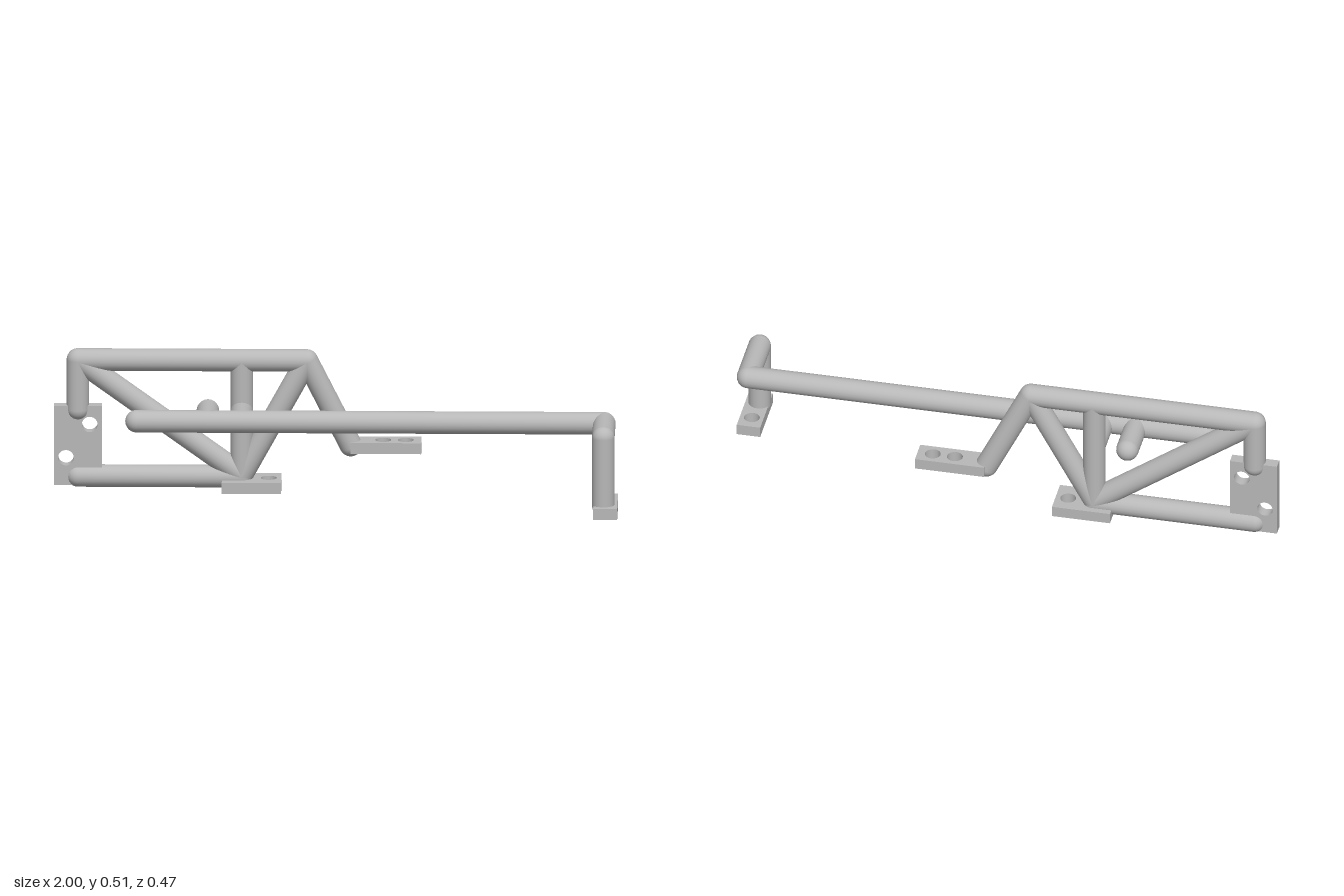
import * as THREE from 'three';

const R = 0.04; // tube radius
const T = 0.04; // plate thickness

export function createModel() {
  const model = new THREE.Group();
  model.name = 'tubularBracket';
  const steel = new THREE.MeshStandardMaterial({ color: 0xb8b8b8 });
  steel.name = 'grey steel';

  const add = (name, geometry, parent) => {
    const mesh = new THREE.Mesh(geometry, steel);
    mesh.name = name;
    parent.add(mesh);
    return mesh;
  };

  // Straight tubes through the points, with a ball at every joint and end
  const pipe = (name, coords) => {
    const group = new THREE.Group();
    group.name = name;
    model.add(group);
    const pts = coords.map((c) => new THREE.Vector3(...c));
    pts.forEach((p, i) => {
      add('joint', new THREE.SphereGeometry(R, 20, 14), group).position.copy(p);
      if (i === 0) return;
      const dir = p.clone().sub(pts[i - 1]);
      const tube = add('tube', new THREE.CylinderGeometry(R, R, dir.length(), 20), group);
      tube.position.copy(p).add(pts[i - 1]).multiplyScalar(0.5);
      tube.quaternion.setFromUnitVectors(new THREE.Vector3(0, 1, 0), dir.normalize());
    });
  };

  // Rectangular plate with round holes, extruded towards +z
  const plate = (name, u0, v0, u1, v1, holes) => {
    const shape = new THREE.Shape([[u0, v0], [u1, v0], [u1, v1], [u0, v1]].map((p) => new THREE.Vector2(...p)));
    for (const [u, v] of holes) {
      shape.holes.push(new THREE.Path().absarc(u, v, 0.028, 0, Math.PI * 2, true));
    }
    return add(name, new THREE.ExtrudeGeometry(shape, { depth: T, bevelEnabled: false, curveSegments: 20 }), model);
  };
  // Flat plate lying on height y; its v axis becomes -z
  const flatPlate = (name, y, x0, z0, x1, z1, holes) => {
    const mesh = plate(name, x0, -z1, x1, -z0, holes.map(([x, z]) => [x, -z]));
    mesh.rotation.x = -Math.PI / 2;
    mesh.position.y = y;
  };

  // Long front rail turning forward and down to its foot
  pipe('frontRail', [[-0.705, 0.285, -0.02], [0.95, 0.285, -0.02], [0.95, 0.285, 0.175], [0.95, 0.035, 0.175]]);

  // Rear truss
  const z = -0.17;
  const node = [-0.335, 0.05, z];
  pipe('trussOutline', [[-0.915, 0.29, z], [-0.915, 0.47, z], [-0.105, 0.47, z], [0.05, 0.155, -0.19]]);
  pipe('trussBottomTube', [[-0.915, 0.045, z], [-0.335, 0.045, z]]);
  for (const [name, x] of [['longDiagonal', -0.915], ['uprightTube', -0.335], ['shortDiagonal', -0.105]]) {
    pipe(name, [[x, 0.47, z], node]);
  }

  // Cross tubes between rail and truss
  for (const x of [-0.455, -0.335]) pipe('crossTube', [[x, 0.285, -0.02], [x, 0.285, z]]);

  // Mounting plates
  plate('sidePlate', -1, 0.015, -0.83, 0.305, [[-0.957, 0.115], [-0.873, 0.237]]).position.z = z - T / 2;
  flatPlate('railFoot', 0, 0.915, 0.022, 1, 0.235, [[0.957, 0.077]]);
  flatPlate('trussFoot', 0, -0.405, -0.232, -0.195, -0.095, [[-0.24, -0.168]]);
  flatPlate('raisedTab', 0.135, 0.05, -0.235, 0.3, -0.145, [[0.165, -0.19], [0.245, -0.19]]);

  return model;
}
